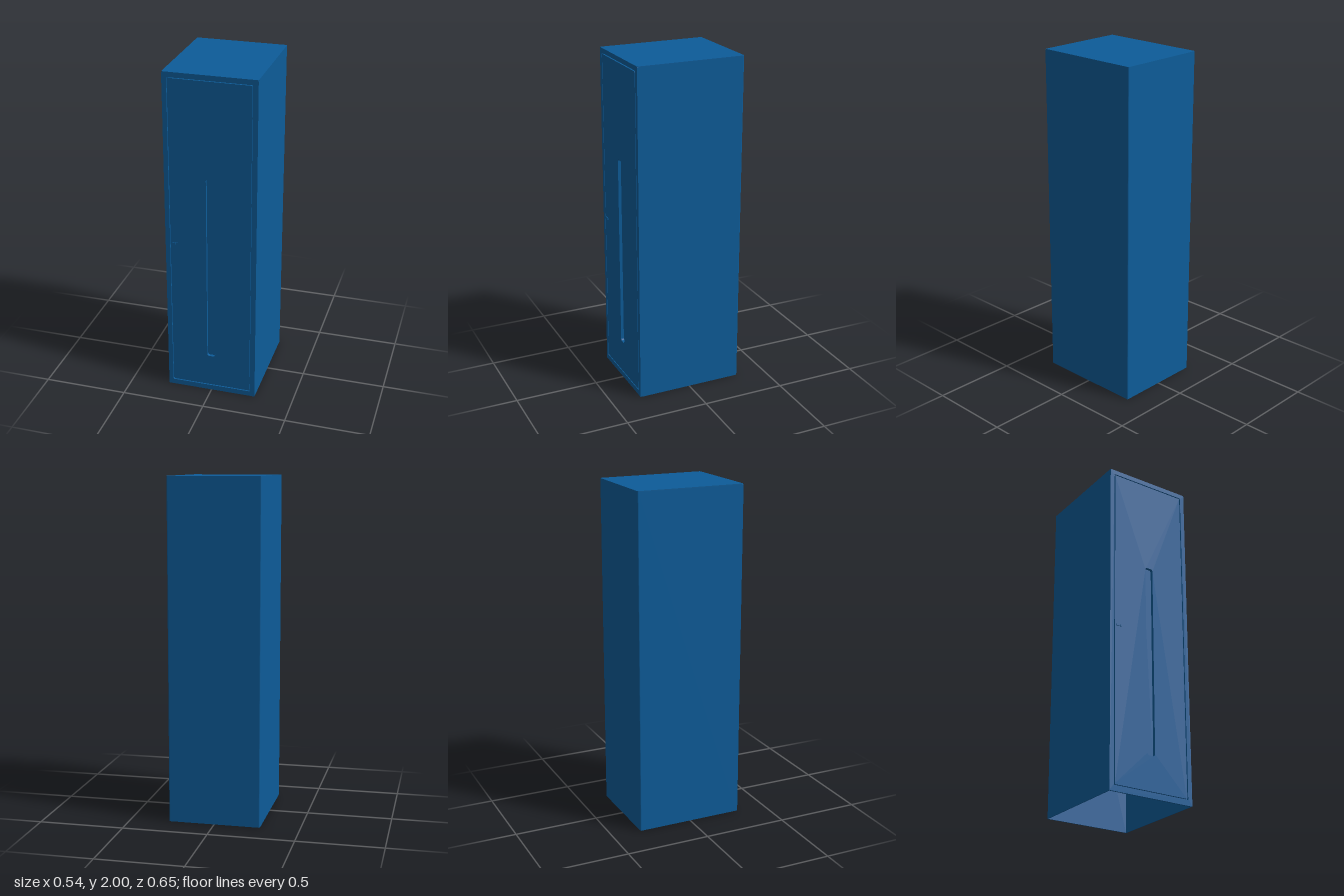
import * as THREE from 'three';

const W = 0.27, BACK = -0.325, FRONT = 0.32, H = 2, T = 0.005;

// Rounded rectangle outline, usable as a shape or a hole
function roundedRect(Kind, x0, y0, x1, y1, r) {
  const p = new Kind();
  p.moveTo(x0 + r, y0);
  p.lineTo(x1 - r, y0);
  p.absarc(x1 - r, y0 + r, r, -Math.PI / 2, 0);
  p.lineTo(x1, y1 - r);
  p.absarc(x1 - r, y1 - r, r, 0, Math.PI / 2);
  p.lineTo(x0 + r, y1);
  p.absarc(x0 + r, y1 - r, r, Math.PI / 2, Math.PI);
  p.lineTo(x0, y0 + r);
  p.absarc(x0 + r, y0 + r, r, Math.PI, Math.PI * 1.5);
  return p;
}

export function createModel() {
  const group = new THREE.Group();
  const paint = new THREE.MeshStandardMaterial({ color: 0x0d5c99, side: THREE.DoubleSide });
  paint.name = 'blue paint';

  const add = (name, geometry) => {
    const mesh = new THREE.Mesh(geometry, paint);
    mesh.name = name;
    group.add(mesh);
    return mesh;
  };
  // Plate standing upright, from z0 to z1
  const plate = (name, shape, z0, z1) => {
    const g = new THREE.ExtrudeGeometry(shape, { depth: z1 - z0, bevelEnabled: false, curveSegments: 6 });
    g.translate(0, 0, z0);
    return add(name, g);
  };

  // Back and side walls: a U-shaped plan with softened back corners, open below
  const faceBack = FRONT - 0.01;
  const r = 0.007;
  const plan = new THREE.Shape();
  plan.moveTo(W, -faceBack);
  plan.lineTo(W, -BACK - r);
  plan.absarc(W - r, -BACK - r, r, 0, Math.PI / 2);
  plan.lineTo(-W + r, -BACK);
  plan.absarc(-W + r, -BACK - r, r, Math.PI / 2, Math.PI);
  plan.lineTo(-W, -faceBack);
  plan.lineTo(-W + T, -faceBack);
  plan.lineTo(-W + T, -BACK - T);
  plan.lineTo(W - T, -BACK - T);
  plan.lineTo(W - T, -faceBack);
  const walls = new THREE.ExtrudeGeometry(plan, { depth: H - T, bevelEnabled: false, curveSegments: 4 });
  walls.rotateX(-Math.PI / 2);
  add('backAndSideWalls', walls);

  // Top panel
  const top = new THREE.ExtrudeGeometry(
    roundedRect(THREE.Shape, -W, -FRONT, W, -BACK, r),
    { depth: T, bevelEnabled: false, curveSegments: 4 });
  top.rotateX(-Math.PI / 2);
  top.translate(0, H - T, 0);
  add('topPanel', top);

  // Front frame around the door
  const frame = roundedRect(THREE.Shape, -W, 0, W, H - T, 0.002);
  frame.holes.push(roundedRect(THREE.Path, -0.243, 0.032, 0.243, 1.972, 0.008));
  plate('frontFrame', frame, faceBack, FRONT);

  // Door with a long slot, separated from the frame by a narrow gap
  const slot = (Kind, grow) =>
    roundedRect(Kind, -0.025 - grow, 0.24 - grow, 0.025 + grow, 1.4 + grow, 0.014 + grow);
  const door = roundedRect(THREE.Shape, -0.237, 0.038, 0.237, 1.966, 0.006);
  door.holes.push(slot(THREE.Path, 0));
  plate('door', door, faceBack, FRONT);

  // Strip closing the gap from behind
  const stop = roundedRect(THREE.Shape, -0.248, 0.027, 0.248, 1.977, 0.01);
  stop.holes.push(roundedRect(THREE.Path, -0.232, 0.043, 0.232, 1.961, 0.004));
  plate('doorStop', stop, faceBack - 0.004, faceBack);

  // Shallow tray behind the slot
  const rim = slot(THREE.Shape, 0.003);
  rim.holes.push(slot(THREE.Path, 0));
  plate('handleRecessRim', rim, faceBack - 0.008, faceBack);
  plate('handleRecessBack', slot(THREE.Shape, 0.003), faceBack - 0.011, faceBack - 0.008);

  // Tiny latch plates on the door
  for (const [x, w] of [[-0.218, 0.02], [-0.199, 0.008]]) {
    const latch = add('latchPlate', new THREE.BoxGeometry(w, 0.012, 0.005));
    latch.position.set(x, 0.972, FRONT + 0.0025);
  }
  return group;
}
